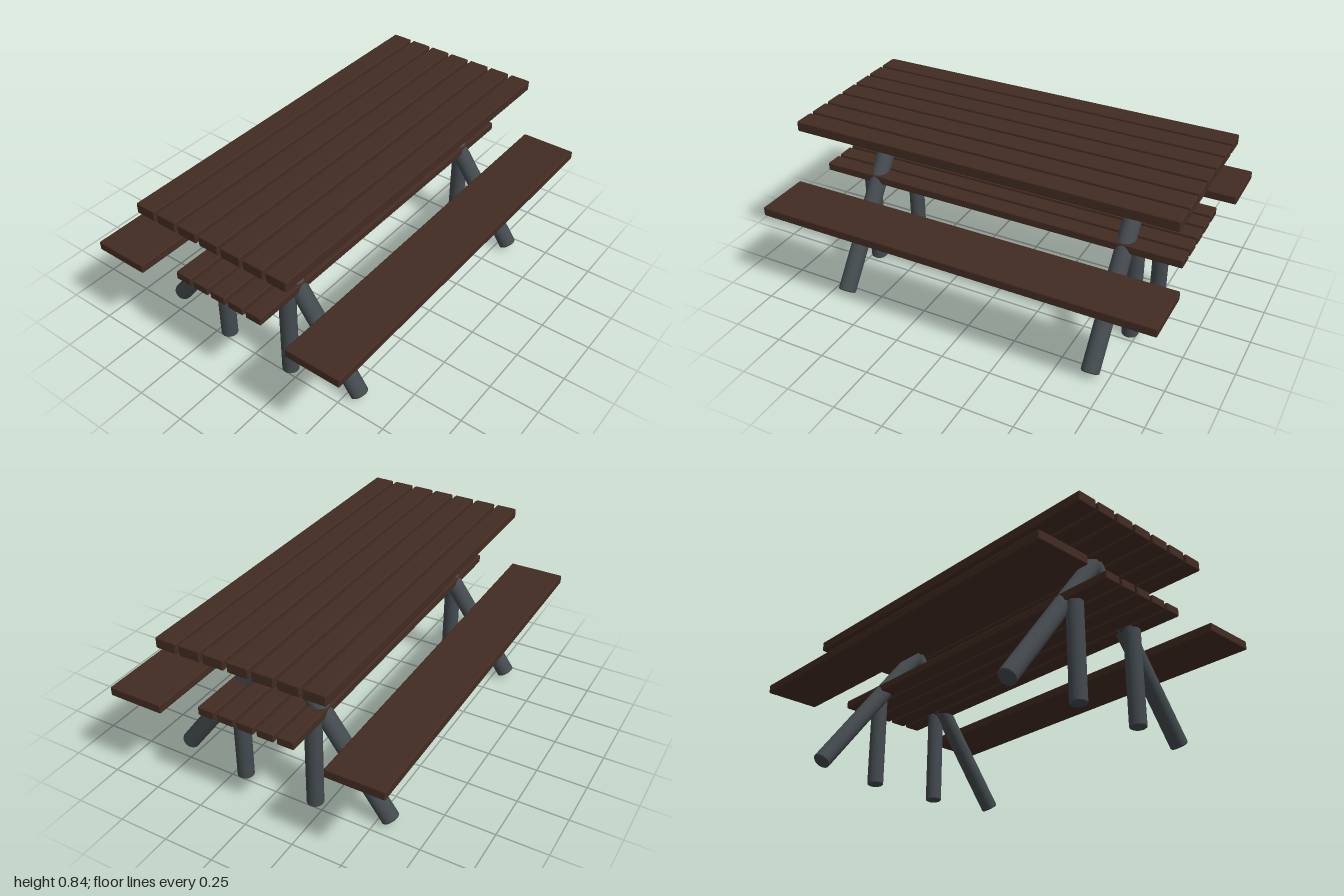
import * as THREE from 'three';
import { RoundedBoxGeometry } from 'three/addons/geometries/RoundedBoxGeometry.js';

const wood = new THREE.MeshStandardMaterial({ name: 'darkWood', color: 0x432c22 });
const metal = new THREE.MeshStandardMaterial({ name: 'greyMetal', color: 0x434a4e });

// Softly rounded board lying along x
function plank(name, length, height, depth, y, z) {
  const mesh = new THREE.Mesh(new RoundedBoxGeometry(length, height, depth, 2, 0.007), wood);
  mesh.name = name;
  mesh.position.set(0, y, z);
  return mesh;
}

// Round post with slightly chamfered ends, running from a to b
function post(name, a, b, radius) {
  const length = a.distanceTo(b), h = length / 2, c = 0.005;
  // Doubled points keep the end edges crisp
  const profile = [
    [0, -h], [radius - c, -h], [radius - c, -h], [radius, -h + c], [radius, -h + c],
    [radius, h - c], [radius, h - c], [radius - c, h], [radius - c, h], [0, h],
  ].map(([r, y]) => new THREE.Vector2(r, y));
  const pieces = new THREE.Group();
  pieces.name = name;
  for (let i = 0; i < profile.length; i += 2) {
    pieces.add(new THREE.Mesh(new THREE.LatheGeometry(profile.slice(i, i + 2), 20), metal));
    pieces.children[i / 2].name = ['bottomCap', 'bottomEdge', 'shaft', 'topEdge', 'topCap'][i / 2];
  }
  pieces.position.copy(a).add(b).multiplyScalar(0.5);
  pieces.quaternion.setFromUnitVectors(new THREE.Vector3(0, 1, 0), b.clone().sub(a).normalize());
  return pieces;
}

export function createModel() {
  const model = new THREE.Group();
  model.name = 'picnicTable';

  // Table top: seven slats
  const top = new THREE.Group();
  top.name = 'tableTop';
  for (let i = -3; i <= 3; i++) top.add(plank('topSlat', 1.94, 0.053, 0.106, 0.826, i * 0.123));

  // Lower shelf: five slats
  const shelf = new THREE.Group();
  shelf.name = 'lowerShelf';
  for (let i = -2; i <= 2; i++) shelf.add(plank('shelfSlat', 1.9, 0.043, 0.086, 0.518, i * 0.1025));
  model.add(top, shelf);

  for (const s of [1, -1]) {
    // Bench seats
    model.add(plank(s > 0 ? 'frontBench' : 'backBench', 2, 0.046, 0.284, 0.489, s * 0.563));
    // Leaning and upright legs at both ends
    for (const e of [1, -1]) {
      model.add(post('leaningLeg',
        new THREE.Vector3(e * 0.665, 0.031, s * 0.563), new THREE.Vector3(e * 0.665, 0.795, 0), 0.044));
      model.add(post('uprightLeg',
        new THREE.Vector3(e * 0.716, 0.008, s * 0.195), new THREE.Vector3(e * 0.716, 0.505, s * 0.195), 0.041));
    }
  }
  return model;
}
